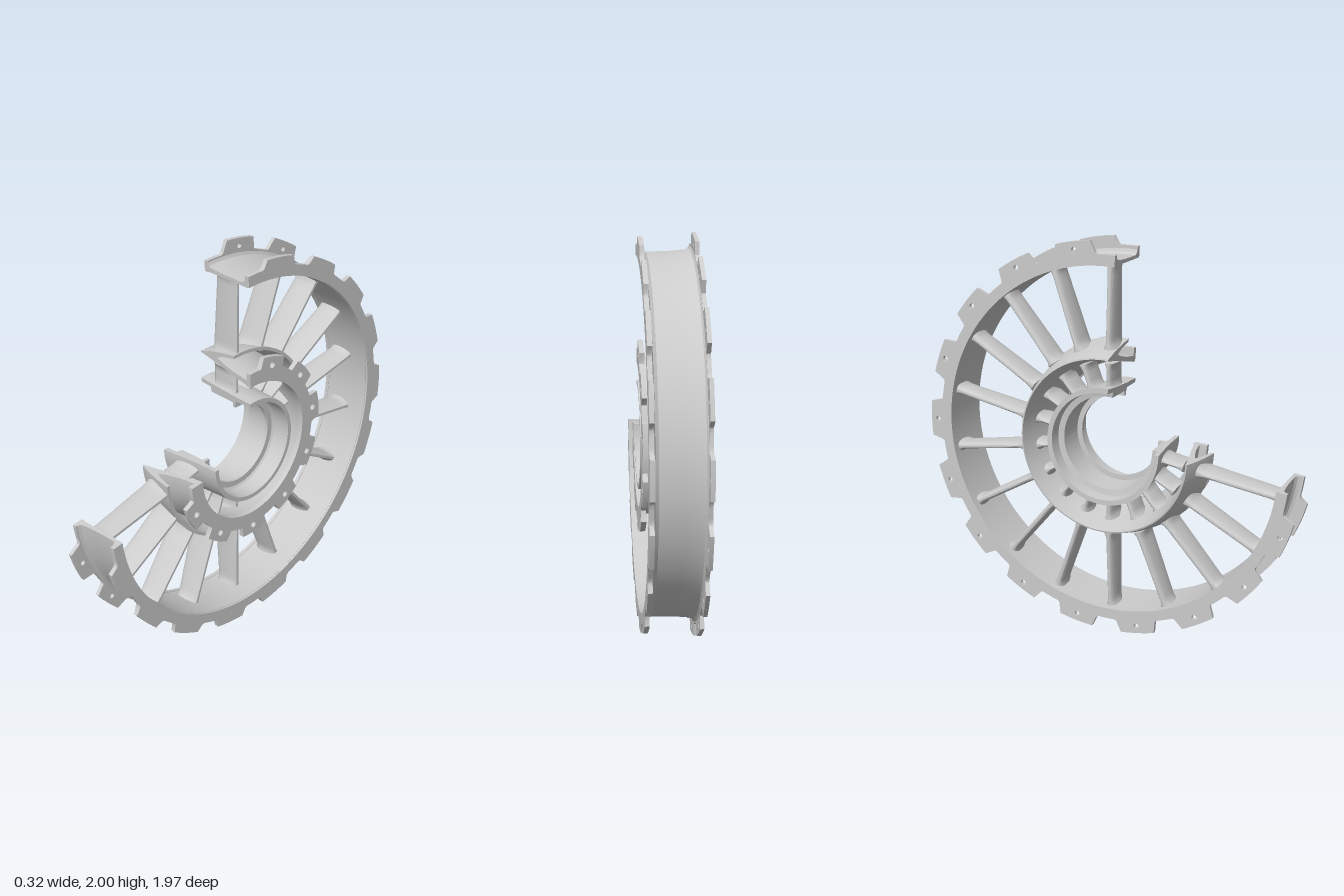
import * as THREE from 'three';
import { toCreasedNormals } from 'three/addons/utils/BufferGeometryUtils.js';

const material = new THREE.MeshStandardMaterial({ color: 0xcccccc, side: THREE.DoubleSide });
const rad = THREE.MathUtils.degToRad;
const AXIS_X = new THREE.Matrix4().makeBasis(
  new THREE.Vector3(0, 0, 1), new THREE.Vector3(1, 0, 0), new THREE.Vector3(0, 1, 0));
const PLATE = new THREE.Matrix4().makeBasis(
  new THREE.Vector3(0, 0, -1), new THREE.Vector3(0, 1, 0), new THREE.Vector3(1, 0, 0));

function mesh(geometry, name) {
  const m = new THREE.Mesh(toCreasedNormals(geometry, rad(32)), material);
  m.name = name;
  return m;
}

// Part-turn solid about the x axis from a closed [x, radius] section.
// Angles are in degrees from the top, running towards -z.
function ring(name, section, a0, a1) {
  const group = new THREE.Group();
  group.name = name;
  let pts = section.map(([x, r]) => new THREE.Vector2(r, x));
  if (THREE.ShapeUtils.area(pts) < 0) pts = pts.reverse();
  const lathe = new THREE.LatheGeometry([...pts, pts[0].clone()], 120, rad(-a1), rad(a1 - a0));
  group.add(mesh(lathe.applyMatrix4(AXIS_X), name + 'Wall'));
  const face = new THREE.Shape(section.map(([x, r]) => new THREE.Vector2(x, r)));
  for (const a of [a0, a1]) {
    group.add(mesh(new THREE.ShapeGeometry(face).rotateX(rad(-a)), name + 'CutFace'));
  }
  return group;
}

// Flat part-turn flange with lugs on its outer edge and optional bolt holes.
function flange(name, o) {
  const at = (r, a) => new THREE.Vector2(r * Math.sin(rad(a)), r * Math.cos(rad(a)));
  const pts = [];
  const arc = (r, from, to) => {
    const n = Math.max(1, Math.ceil(Math.abs(to - from) / 2.5));
    for (let i = 0; i <= n; i++) pts.push(at(r, from + (to - from) * i / n));
  };
  let a = o.start;
  for (const c of o.lugs) {
    arc(o.base, a, c - o.foot);
    pts.push(at(o.base + 0.006, c - o.foot + 0.6));
    arc(o.top, c - o.tip, c + o.tip);
    pts.push(at(o.base + 0.006, c + o.foot - 0.6));
    a = c + o.foot;
  }
  arc(o.base, a, o.end);
  arc(o.inner, o.end, o.start);
  const shape = new THREE.Shape(pts);
  if (o.holeRadius) {
    for (const c of o.lugs) {
      const p = at(o.holeAt, c);
      shape.holes.push(new THREE.Path().absarc(p.x, p.y, o.holeRadius, 0, Math.PI * 2, true));
    }
  }
  const geo = new THREE.ExtrudeGeometry(shape,
    { depth: o.x1 - o.x0, bevelEnabled: false, curveSegments: 10 });
  return mesh(geo.translate(0, 0, o.x0).applyMatrix4(PLATE), name);
}

// Streamlined strut along y; the nose sweeps back towards the tip, the ends flare.
function strutGeometry(r0, r1, nose, tipNose, tail, half) {
  const shape = new THREE.Shape();
  const c = tail - nose;
  shape.moveTo(nose, 0);
  shape.bezierCurveTo(nose, half * 0.9, nose + c * 0.25, half, nose + c * 0.45, half);
  shape.quadraticCurveTo(nose + c * 0.75, half, tail, half * 0.35);
  shape.lineTo(tail, -half * 0.35);
  shape.quadraticCurveTo(nose + c * 0.75, -half, nose + c * 0.45, -half);
  shape.bezierCurveTo(nose + c * 0.25, -half, nose, -half * 0.9, nose, 0);
  const length = r1 - r0;
  const geo = new THREE.ExtrudeGeometry(shape,
    { depth: length, steps: 20, bevelEnabled: false, curveSegments: 8 });
  geo.rotateX(-Math.PI / 2);
  const p = geo.attributes.position;
  for (let i = 0; i < p.count; i++) {
    const y = p.getY(i), t = y / length;
    const chord = (tail - (nose + (tipNose - nose) * t)) / c;
    const edge = Math.max(0, 1 - Math.min(y, length - y) / 0.04);
    p.setXYZ(i, tail + (p.getX(i) - tail) * chord, y + r0, p.getZ(i) * (1 + 0.9 * edge * edge));
  }
  return toCreasedNormals(geo, rad(32));
}

export function createModel() {
  const root = new THREE.Group();
  root.name = 'strutFrame';
  const frame = new THREE.Group();
  frame.name = 'cutawayFrame';
  frame.position.set(0, 1, 0.02);
  root.add(frame);

  // Outer rim: channel wall between two lugged flanges
  const rimStart = -3, rimEnd = 263.4;
  frame.add(ring('outerRim', [
    [-0.11, 0.888], [0.15, 0.883], [0.15, 0.925], [0.137, 0.925], [0.131, 0.911],
    [0.115, 0.901], [0, 0.904], [-0.075, 0.911], [-0.092, 0.918], [-0.1, 0.932], [-0.11, 0.932],
  ], rimStart, rimEnd));
  const rimLugs = Array.from({ length: 13 }, (_, i) => 10 + 20 * i);
  const rim = { start: rimStart, end: rimEnd, lugs: rimLugs, base: 0.94, inner: 0.885 };
  frame.add(flange('rearRimFlange', { ...rim, x0: -0.12, x1: -0.1, top: 1.004, tip: 5.3, foot: 7.2,
    holeAt: 0.965, holeRadius: 0.013 }));
  frame.add(flange('frontRimFlange', { ...rim, x0: 0.137, x1: 0.16, top: 0.985, tip: 5.4, foot: 7.2 }));

  // Splitter ring: sharp nose forking into an outer and an inner skin
  const midStart = -4.4, midEnd = 267;
  frame.add(ring('splitterRing', [
    [-0.165, 0.44], [-0.06, 0.415], [0.05, 0.385], [0.15, 0.36], [0.15, 0.39],
    [0.05, 0.408], [-0.02, 0.43], [-0.055, 0.447], [-0.02, 0.465], [0.06, 0.482],
    [0.06, 0.499], [-0.02, 0.486], [-0.1, 0.468], [-0.163, 0.447],
  ], midStart, midEnd));
  frame.add(flange('splitterFlange', {
    start: midStart, end: midEnd, x0: 0.135, x1: 0.16, inner: 0.36, base: 0.432, top: 0.487,
    lugs: Array.from({ length: 8 }, (_, i) => 180 + (i - 5) * 360 / 11),
    tip: 9, foot: 11, holeAt: 0.442, holeRadius: 0.017,
  }));

  // Hub: conical wall with a stepped bore and an inner lip
  frame.add(ring('hub', [
    [-0.165, 0.275], [-0.105, 0.27], [-0.1, 0.24], [0.04, 0.237], [0.04, 0.21], [0.058, 0.21],
    [0.058, 0.24], [0.066, 0.25], [0.16, 0.25], [0.16, 0.272], [0.05, 0.277], [-0.06, 0.287],
    [-0.165, 0.3],
  ], -6.5, 270));

  // Struts every 20 degrees, in line across both passages
  const outer = strutGeometry(0.475, 0.895, -0.105, -0.078, 0.05, 0.019);
  const inner = strutGeometry(0.275, 0.405, -0.1, -0.1, 0.045, 0.016);
  for (let i = 0; i < 14; i++) {
    for (const [geo, name] of [[outer, 'outerStrut'], [inner, 'innerStrut']]) {
      const strut = new THREE.Mesh(geo, material);
      strut.name = name;
      strut.rotation.x = rad(-20 * i);
      frame.add(strut);
    }
  }
  return root;
}
